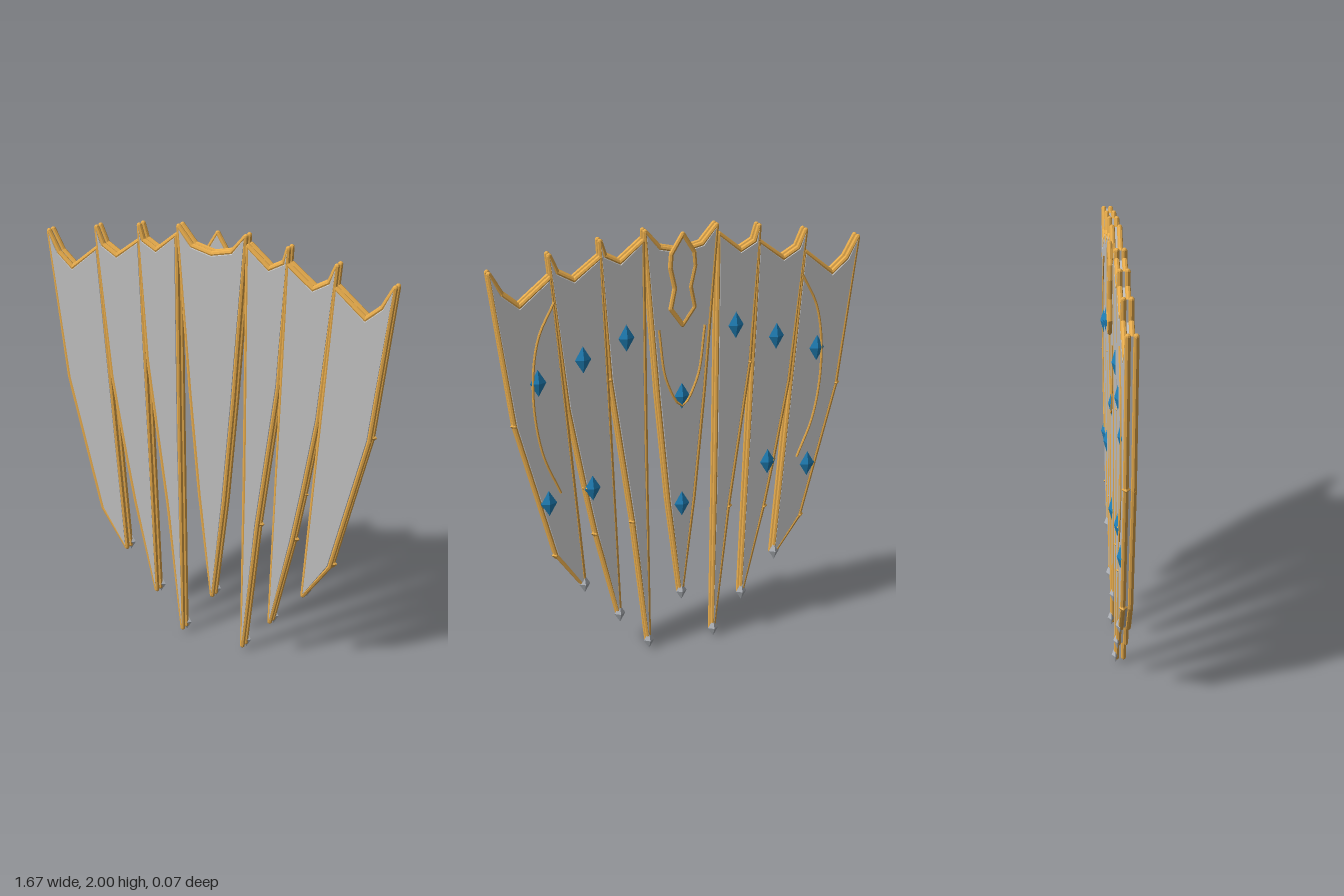
import * as THREE from 'three';

const mat = (name, color) => Object.assign(new THREE.MeshStandardMaterial({ color, flatShading: true }), { name });

export function createModel() {
  const gold = mat('gold', 0xe8ac4c);
  const grey = mat('grey', 0xc1c1c1);
  const blue = mat('blue', 0x2083bc);
  const silver = mat('silver', 0xb0b4ba);
  const model = new THREE.Group();
  model.name = 'panelledCape';

  const add = (parent, name, geometry, material) => {
    const mesh = new THREE.Mesh(geometry, material);
    mesh.name = name;
    parent.add(mesh);
    return mesh;
  };

  // Bevelled plate between two z values
  const plate = (parent, name, pts, z0, z1, bevel) => {
    const shape = new THREE.Shape(pts.map(p => new THREE.Vector2(...p)));
    const geo = new THREE.ExtrudeGeometry(shape, {
      depth: z1 - z0 - 2 * bevel, bevelEnabled: true, bevelSegments: 1,
      bevelThickness: bevel, bevelSize: bevel, bevelOffset: -bevel,
    });
    geo.translate(0, 0, z0 + bevel);
    return add(parent, name, geo, grey);
  };

  // Closed rim of straight rods with rounded joints
  const rim = (parent, name, pts, z, r) => {
    const group = new THREE.Group();
    group.name = name;
    pts.forEach((p, i) => {
      const a = new THREE.Vector3(...p, z);
      const b = new THREE.Vector3(...pts[(i + 1) % pts.length], z);
      const dir = b.clone().sub(a);
      const rod = add(group, 'rimRod', new THREE.CylinderGeometry(r, r, dir.length(), 8), gold);
      rod.position.copy(a).add(b).multiplyScalar(0.5);
      rod.quaternion.setFromUnitVectors(new THREE.Vector3(0, 1, 0), dir.normalize());
      add(group, 'rimJoint', new THREE.SphereGeometry(r, 8, 6), gold).position.copy(a);
    });
    parent.add(group);
  };

  // Stretched octahedron for gems, studs and tips
  const diamond = (parent, name, x, y, z, size, material) => {
    const mesh = add(parent, name, new THREE.OctahedronGeometry(1), material);
    mesh.scale.set(...size);
    mesh.position.set(x, y, z);
  };

  // Thin raised line on the back
  const filigree = (parent, pts) => {
    const curve = new THREE.CatmullRomCurve3(pts.map(([x, y]) => new THREE.Vector3(x, y, -0.021)));
    add(parent, 'filigree', new THREE.TubeGeometry(curve, 24, 0.006, 6), gold);
  };

  const buildPanel = (name, { outline, tip, studs = [], gems = [], line }, side) => {
    const flip = pts => pts.map(([x, y]) => [x * side, y]);
    const group = new THREE.Group();
    group.name = name;
    const pts = flip(outline);
    plate(group, 'panelPlate', pts, -0.02, 0.035, 0.009);
    rim(group, 'frontRim', pts, 0.0235, 0.0115);
    rim(group, 'backRim', pts, -0.0085, 0.0115);
    for (const [x, y] of flip(studs)) diamond(group, 'stud', x, y, -0.008, [0.02, 0.022, 0.018], gold);
    for (const [x, y] of flip(gems)) diamond(group, 'gem', x, y, -0.019, [0.038, 0.064, 0.017], blue);
    for (const [x, y] of flip([tip])) diamond(group, 'tipCap', x, y, -0.014, [0.026, 0.044, 0.018], silver);
    if (line) filigree(group, flip(line));
    model.add(group);
    return group;
  };

  // Side panels, mirrored
  const panels = {
    InnerPanel: {
      outline: [[0.17, 1.95], [0.27, 1.87], [0.335, 1.905], [0.354, 1.967], [0.32, 1.36],
        [0.228, 0.67], [0.16, 0.03], [0.166, 1]],
      tip: [0.16, 0.046], studs: [[0.322, 1.36], [0.23, 0.67]], gems: [[0.25, 1.54]],
    },
    MiddlePanel: {
      outline: [[0.355, 1.9], [0.47, 1.815], [0.54, 1.855], [0.572, 1.928], [0.51, 1.25],
        [0.445, 0.87], [0.402, 0.64], [0.3, 0.2]],
      tip: [0.3, 0.215], studs: [[0.443, 0.87], [0.405, 0.64]],
      gems: [[0.443, 1.467], [0.415, 0.868]],
    },
    OuterPanel: {
      outline: [[0.57, 1.835], [0.705, 1.727], [0.775, 1.787], [0.824, 1.876], [0.745, 1.2],
        [0.587, 0.565], [0.462, 0.385]],
      tip: [0.463, 0.4], studs: [[0.747, 1.205], [0.59, 0.565]],
      gems: [[0.641, 1.388], [0.614, 0.827]],
      line: [[0.56, 1.735], [0.635, 1.58], [0.665, 1.34], [0.635, 1.07], [0.56, 0.87]],
    },
  };
  for (const [name, spec] of Object.entries(panels)) {
    buildPanel('left' + name, spec, 1);
    buildPanel('right' + name, spec, -1);
  }

  // Central panel, mirrored about its own axis
  const half = [[0.095, 1.915], [0.159, 1.989], [0.105, 1.25], [0.06, 0.75]];
  const mirrored = (top, pts, bottom) =>
    [[0, top], ...pts, [0, bottom], ...pts.map(([x, y]) => [-x, y]).reverse()];
  const centre = buildPanel('centrePanel', {
    outline: mirrored(1.893, half, 0.255), tip: [0, 0.275], gems: [[0, 1.245], [0, 0.725]],
    line: [[-0.105, 1.56], [-0.07, 1.32], [0, 1.2], [0.07, 1.32], [0.105, 1.56]],
  }, 1);

  // Crest on the back of the central panel
  const crest = mirrored(1.97, [[0.05, 1.89], [0.055, 1.83], [0.035, 1.74], [0.053, 1.65]], 1.575);
  plate(centre, 'crestPlate', crest, -0.034, -0.018, 0.006);
  rim(centre, 'crestRim', crest, -0.028, 0.011);

  return model;
}
